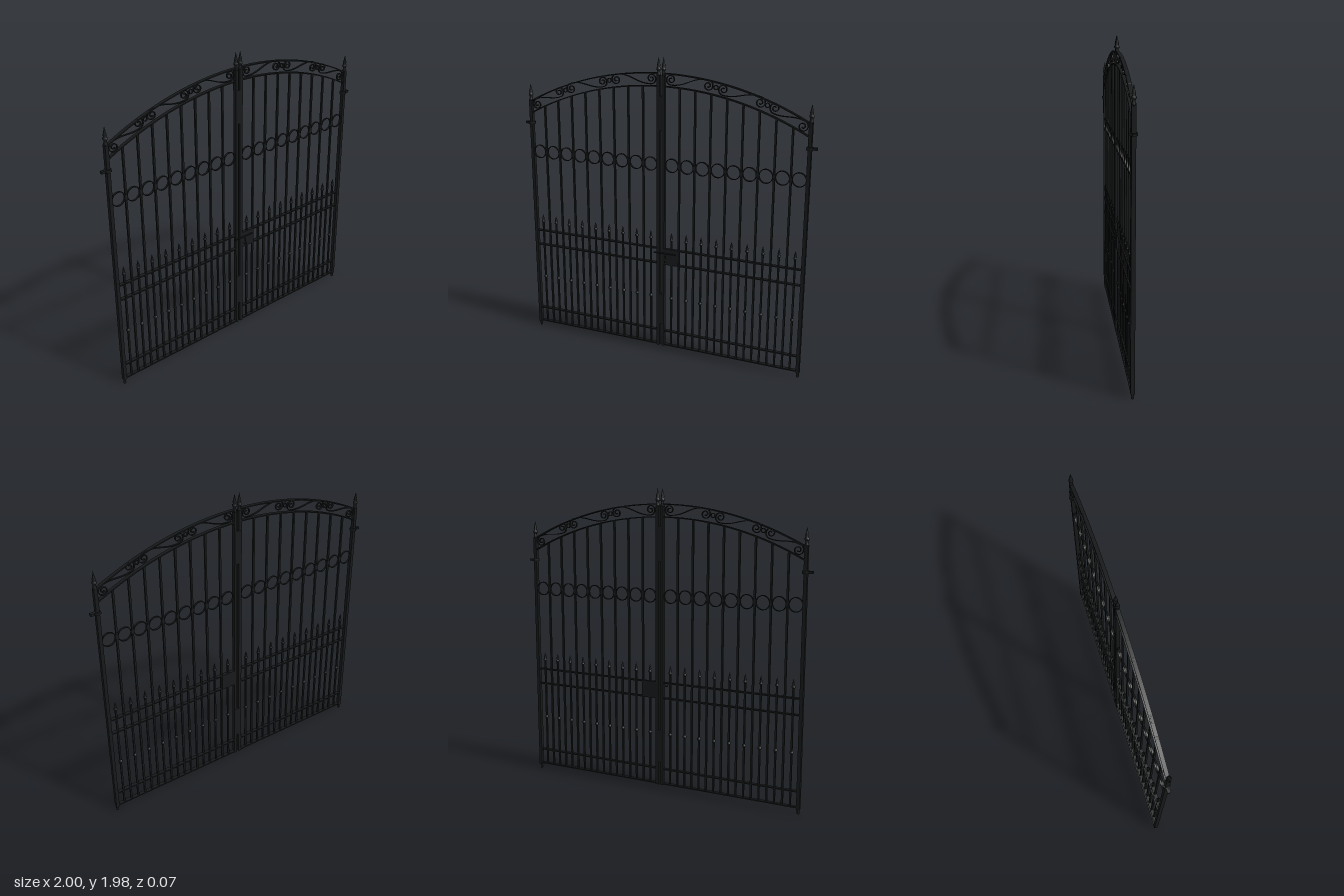
import * as THREE from 'three';

const iron = new THREE.MeshStandardMaterial({ color: 0x17191a });
iron.name = 'black iron';

const Z = -0.009;      // plane of the gate
const POST = 0.956;    // outer post offset
const R = 2.03;        // arch radius
const arch = (x, top) => top - R + Math.sqrt(R * R - x * x);
const V = (x, y) => new THREE.Vector2(x, y);

export function createModel() {
  const root = new THREE.Group();
  root.name = 'doubleGate';

  const add = (parent, name, geo, x = 0, y = 0, z = Z) => {
    const m = new THREE.Mesh(geo, iron);
    m.name = name;
    m.position.set(x, y, z);
    parent.add(m);
    return m;
  };
  const box = (parent, name, w, h, d, x, y, z = Z) =>
    add(parent, name, new THREE.BoxGeometry(w, h, d), x, y, z);
  const lathe = (parent, name, pts, x, y, sides = 8) =>
    add(parent, name, new THREE.LatheGeometry(pts.map(p => V(p[0], p[1])), sides), x, y);

  // Flat strip bent along a 2D path
  const strip = (parent, name, pts, thick, depth) => {
    const a = [], b = [];
    pts.forEach((p, i) => {
      const q = pts[Math.max(i - 1, 0)], r = pts[Math.min(i + 1, pts.length - 1)];
      const n = V(q.y - r.y, r.x - q.x).normalize().multiplyScalar(thick / 2);
      a.push(p.clone().add(n));
      b.unshift(p.clone().sub(n));
    });
    const geo = new THREE.ExtrudeGeometry(new THREE.Shape([...a, ...b]), { depth, bevelEnabled: false });
    return add(parent, name, geo.translate(0, 0, -depth / 2));
  };

  // Round hoop of flat bar
  const hoop = (parent, name, r, thick, depth, x, y) => {
    const s = new THREE.Shape().absarc(0, 0, r, 0, Math.PI * 2);
    s.holes.push(new THREE.Path().absarc(0, 0, r - thick, 0, Math.PI * 2, true));
    const geo = new THREE.ExtrudeGeometry(s, { depth, bevelEnabled: false, curveSegments: 20 });
    add(parent, name, geo.translate(0, 0, -depth / 2), x, y);
  };

  // S-scroll: curls out of a, crosses over, curls into b
  const scroll = (parent, s, a, b) => {
    const r0 = 0.007, r1 = 0.034, turns = 1.6, n = 36, pts = [];
    const spiral = (c, t, end) => {
      const ang = end + Math.asin(-c[0] / R) + t * turns * Math.PI * 2;
      const r = r1 + (r0 - r1) * t;
      return V(c[0] + r * Math.cos(ang), c[1] + r * Math.sin(ang));
    };
    for (let i = n; i >= 0; i--) pts.push(spiral(a, i / n, Math.PI / 2));
    const p = spiral(a, 0, Math.PI / 2), q = spiral(b, 0, -Math.PI / 2);
    const len = (b[0] - a[0]) * 0.45;
    const ta = Math.asin(-a[0] / R), tb = Math.asin(-b[0] / R);
    const link = new THREE.CubicBezierCurve(p,
      V(p.x + len * Math.cos(ta), p.y + len * Math.sin(ta)),
      V(q.x - len * Math.cos(tb), q.y - len * Math.sin(tb)), q);
    pts.push(...link.getPoints(14).slice(1, -1));
    for (let i = 0; i <= n; i++) pts.push(spiral(b, i / n, -Math.PI / 2));
    strip(parent, 'scroll', pts.map(v => V(v.x * s, v.y)), 0.005, 0.012);
  };

  const finial = [[0, 0], [0.013, 0], [0.013, 0.012], [0.009, 0.02], [0.01, 0.03], [0.015, 0.038],
    [0.015, 0.046], [0.009, 0.052], [0.012, 0.062], [0.006, 0.085], [0, 0.115]];
  const spear = [[0, 0], [0.006, 0], [0.012, 0.006], [0.012, 0.012], [0.006, 0.018],
    [0.009, 0.026], [0.004, 0.045], [0, 0.06]];
  const knuckle = [[0, -0.014], [0.006, -0.012], [0.013, -0.003], [0.013, 0.003], [0.006, 0.012], [0, 0.014]];

  for (const s of [-1, 1]) {
    const leaf = new THREE.Group();
    leaf.name = s < 0 ? 'rightLeaf' : 'leftLeaf';
    root.add(leaf);

    // Posts with finials, pivot foot and wall hinge
    box(leaf, 'outerPost', 0.022, 1.62, 0.025, s * POST, 0.84);
    lathe(leaf, 'outerFinial', finial, s * POST, 1.645);
    box(leaf, 'meetingPost', 0.021, 1.837, 0.025, s * 0.017, 0.9515);
    lathe(leaf, 'meetingFinial', finial, s * 0.017, 1.866);
    add(leaf, 'pivotFoot', new THREE.CylinderGeometry(0.009, 0.009, 0.045, 10), s * POST, 0.0225);
    add(leaf, 'hingeCollar', new THREE.CylinderGeometry(0.023, 0.023, 0.018, 6), s * POST, 1.495);
    box(leaf, 'hingeArm', 0.05, 0.015, 0.02, s * 0.975, 1.495);

    // Horizontal rails
    for (const y of [0.042, 0.144, 0.628, 0.731])
      box(leaf, 'rail', 0.93, 0.008, 0.024, s * 0.487, y);

    // Arched top rails
    for (const top of [1.88, 1.8]) {
      const pts = [];
      for (let i = 0; i <= 24; i++) {
        const x = 0.02 + (POST - 0.02) * i / 24;
        pts.push(V(s * x, arch(x, top)));
      }
      strip(leaf, 'archRail', pts, 0.007, 0.024);
    }

    // Tall bars
    for (let k = 0; k < 8; k++) {
      const x = 0.85 - 0.1035 * k, h = arch(x, 1.8) - 0.042;
      box(leaf, 'tallBar', 0.012, h, 0.012, s * x, 0.042 + h / 2);
    }

    // Short spear-topped bars and the row of hoops
    for (let k = 0; k < 9; k++) {
      const x = s * (0.902 - 0.1035 * k);
      box(leaf, 'shortBar', 0.011, 0.75, 0.011, x, 0.417);
      lathe(leaf, 'spearTip', spear, x, 0.79);
      lathe(leaf, 'barKnuckle', knuckle, x, 0.386);
      hoop(leaf, 'hoop', 0.046, 0.005, 0.012, x, 1.299);
    }

    // Scrollwork between the arches
    scroll(leaf, s, [-0.907, 1.623], [-0.735, 1.718]);
    scroll(leaf, s, [-0.643, 1.744], [-0.41, 1.805]);
    scroll(leaf, s, [-0.312, 1.823], [-0.067, 1.845]);
    hoop(leaf, 'scrollRing', 0.015, 0.004, 0.012, s * 0.688, 1.731);
    hoop(leaf, 'scrollRing', 0.015, 0.004, 0.012, s * 0.362, 1.815);
  }

  // Cover plates where the leaves meet
  for (const y of [0.3, 1.63]) box(root, 'coverPlate', 0.046, 0.22, 0.027, 0.002, y);

  // Lock case, latch bar and handle
  box(root, 'lockCase', 0.105, 0.105, 0.024, 0.072, 0.68);
  box(root, 'latchBar', 0.155, 0.008, 0.006, 0.033, 0.705, 0.01);
  const grip = new THREE.CatmullRomCurve3([[0, 0.705, 0.01], [0, 0.69, 0.016], [0, 0.672, 0.022],
    [0, 0.664, 0.031], [0, 0.654, 0.029], [0, 0.652, 0.015], [0, 0.66, 0.002]].map(p => new THREE.Vector3(...p)));
  add(root, 'handle', new THREE.TubeGeometry(grip, 16, 0.003, 6), 0.04, 0, 0);

  return root;
}
